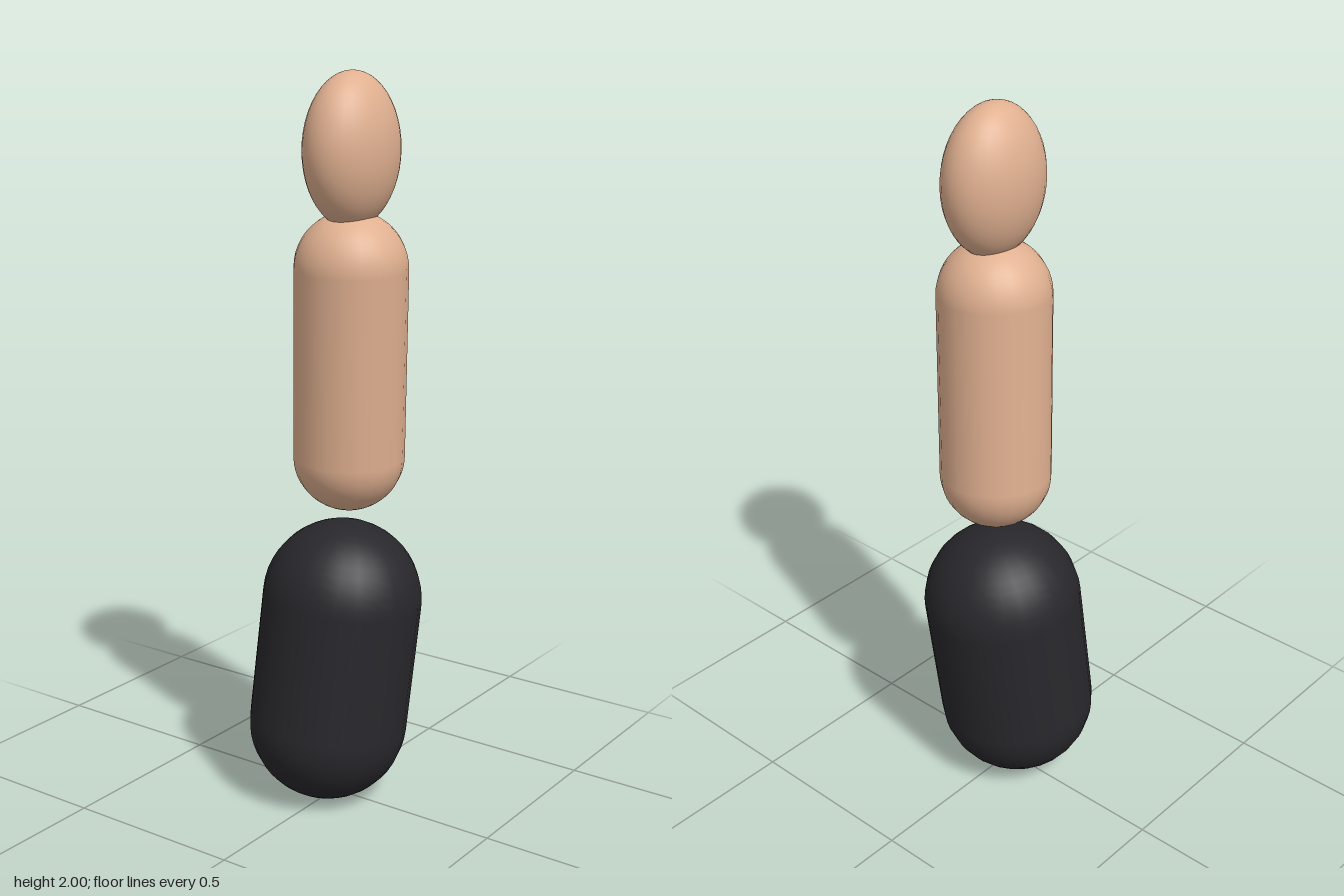
import * as THREE from 'three';

const skin = new THREE.MeshStandardMaterial({ color: 0xe0b090 });
const cloth = new THREE.MeshStandardMaterial({ color: 0x28282c });

// Capsule whose cap centres sit at the two given points
function limb(name, from, to, radius, material) {
  const a = new THREE.Vector3(...from);
  const b = new THREE.Vector3(...to);
  const axis = b.clone().sub(a);
  const mesh = new THREE.Mesh(new THREE.CapsuleGeometry(radius, axis.length(), 12, 24), material);
  mesh.name = name;
  mesh.position.copy(a).add(b).multiplyScalar(0.5);
  mesh.quaternion.setFromUnitVectors(new THREE.Vector3(0, 1, 0), axis.normalize());
  return mesh;
}

export function createModel() {
  const model = new THREE.Group();
  model.name = 'arm';

  // Sleeved upper arm and bare forearm
  model.add(limb('upperArmSleeve', [-0.018, 0.22, -0.011], [0.018, 0.576, 0.011], 0.22, cloth));
  model.add(limb('forearm', [0.028, 0.985, 0.026], [0.005, 1.495, 0.048], 0.151, skin));

  // Flattened egg-shaped hand
  const hand = new THREE.Mesh(new THREE.SphereGeometry(1, 32, 24), skin);
  hand.name = 'hand';
  hand.scale.set(0.155, 0.2, 0.112);
  hand.position.set(0, 1.8, 0.053);
  model.add(hand);

  return model;
}
